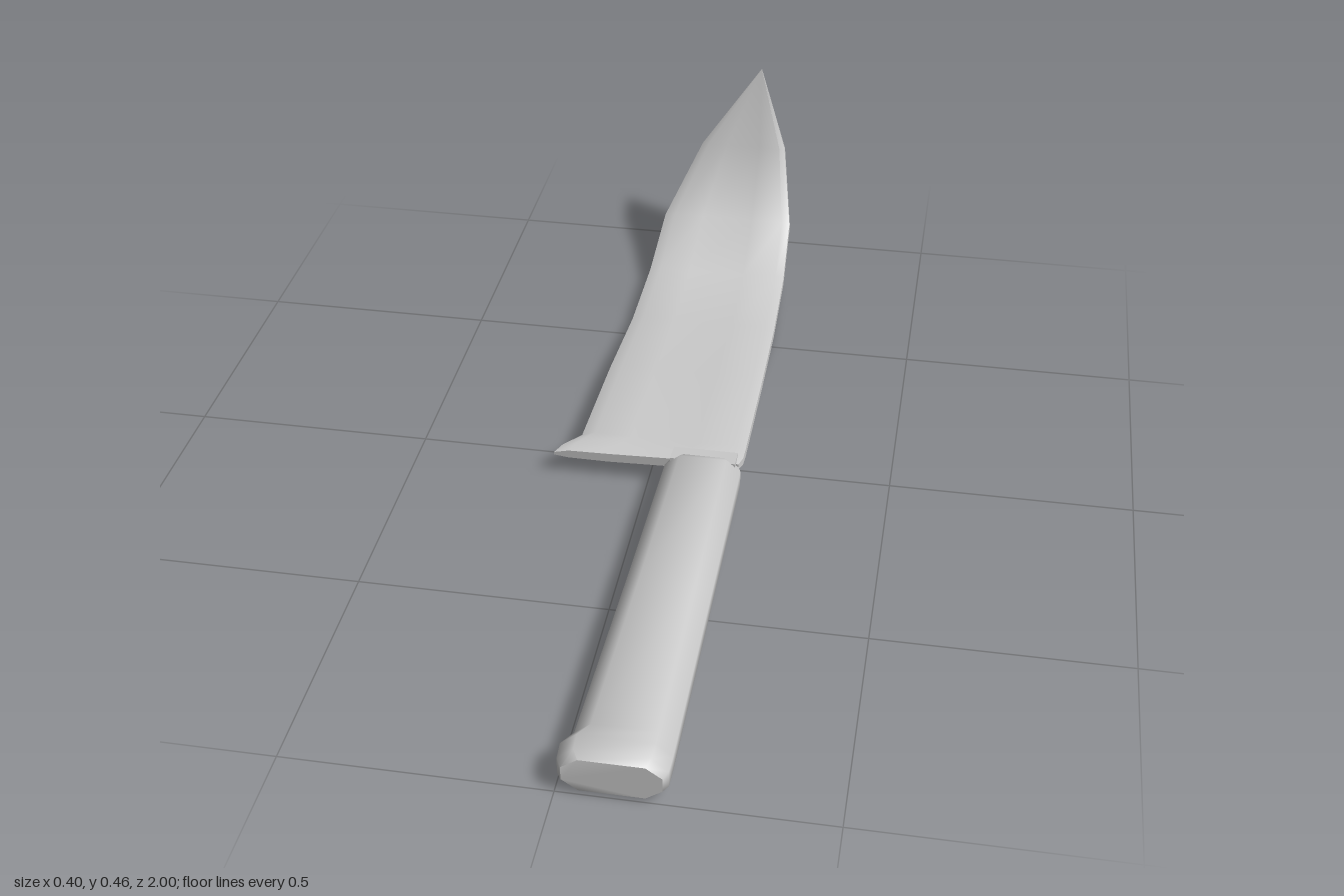
import * as THREE from 'three';
import { toCreasedNormals } from 'three/addons/utils/BufferGeometryUtils.js';

// Skin closed rings (clockwise seen from +z, running towards -z) and cap both ends
function loft(rings, crease) {
  const n = rings[0].length, last = (rings.length - 1) * n, index = [];
  for (let i = 0; i < rings.length - 1; i++) {
    for (let j = 0; j < n; j++) {
      const a = i * n + j, b = i * n + (j + 1) % n;
      index.push(a, b, b + n, a, b + n, a + n);
    }
  }
  for (let k = 1; k < n - 1; k++) index.push(0, k + 1, k, last, last + k, last + k + 1);
  const geometry = new THREE.BufferGeometry();
  geometry.setAttribute('position', new THREE.Float32BufferAttribute(rings.flat(2), 3));
  geometry.setIndex(index);
  return toCreasedNormals(geometry, crease);
}

// Blade stations: z, y, left x, right x, half thickness, left edge drop
const bladeStations = [
  [0.07, 0.062, -0.2, 0.19, 0.011, 0.012],
  [0.05, 0.063, -0.185, 0.197, 0.013, 0.006],
  [0.01, 0.056, -0.152, 0.197, 0.017, 0],
  [-0.27, 0.049, -0.146, 0.196, 0.017, 0],
  [-0.53, 0.021, -0.143, 0.19, 0.017, 0],
  [-0.75, 0.032, -0.139, 0.185, 0.016, 0],
  [-0.888, 0.113, -0.125, 0.181, 0.018, 0],
  [-0.965, 0.28, -0.046, 0.154, 0.011, 0],
  [-1, 0.468, 0.087, 0.089, 0.0005, 0],
];

// Thin section: bevelled cutting edge on the left, square spine on the right
function bladeRing([z, y, xl, xr, h, drop], i) {
  const prev = bladeStations[Math.max(i - 1, 0)];
  const next = bladeStations[Math.min(i + 1, bladeStations.length - 1)];
  const dz = next[0] - prev[0], dy = next[1] - prev[1], len = Math.hypot(dz, dy);
  const ny = -dz / len, nz = dy / len, w = xr - xl;
  const section = [
    [0, -0.3], [0, 0.3], [0.08, 0.9], [0.3, 0.8], [0.7, 0.8], [0.94, 1],
    [1, 0.6], [1, -0.6], [0.94, -0.9], [0.7, -1.05], [0.3, -1.05], [0.08, -0.75],
  ];
  return section.map(([u, v]) => [xl + u * w, y - drop * (1 - u) + v * h * ny, z + v * h * nz]);
}

// Handle stations: z, left x, right x, scale of the section height
const handleStations = [
  [1, 0.012, 0.19, 0.82],
  [0.982, 0.002, 0.198, 1],
  [0.945, 0, 0.199, 1],
  [0.915, 0.019, 0.199, 1],
  [0.5, 0.03, 0.198, 1],
  [0.09, 0.039, 0.197, 1],
  [0.068, 0.044, 0.19, 0.75],
];

// Flattened octagon
function handleRing([z, xl, xr, s]) {
  const h = 0.0425 * s, c = 0.03, y = 0.0475, t = h * 0.4;
  return [
    [xl, y - t, z], [xl, y + t, z], [xl + c, y + h, z], [xr - c, y + h, z],
    [xr, y + t, z], [xr, y - t, z], [xr - c, y - h, z], [xl + c, y - h, z],
  ];
}

export function createModel() {
  const group = new THREE.Group();
  const material = new THREE.MeshStandardMaterial({ color: 0xcccccc });
  const add = (name, geometry) => {
    const mesh = new THREE.Mesh(geometry, material);
    mesh.name = name;
    group.add(mesh);
  };
  add('blade', loft(bladeStations.map(bladeRing), 0.8));
  add('handle', loft(handleStations.map(handleRing), 1.0));
  // Short neck joining the blade to the handle
  const neck = [[0.09, 0.022], [0.04, 0.016]].map(([z, h]) => [
    [0.05, 0.06 - h, z], [0.05, 0.06 + h, z], [0.185, 0.06 + h, z], [0.185, 0.06 - h, z],
  ]);
  add('neck', loft(neck, 0.5));
  return group;
}
